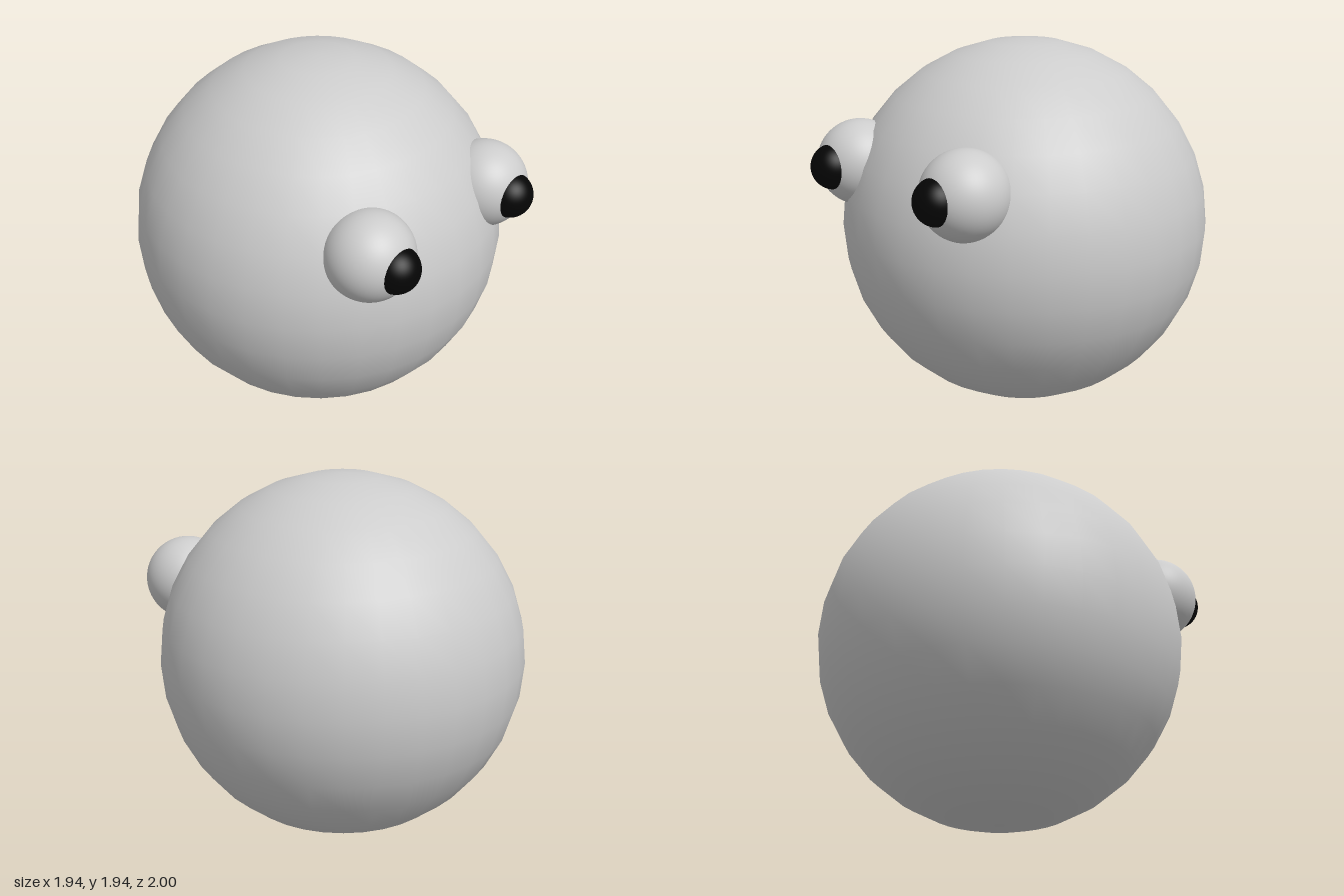
import * as THREE from 'three';

export function createModel() {
  const model = new THREE.Group();
  const grey = new THREE.MeshStandardMaterial({ color: 0xcccccc });
  grey.name = 'light grey';
  const black = new THREE.MeshStandardMaterial({ color: 0x050505 });
  black.name = 'black';

  function ball(name, radius, widthSegments, material, x, y, z) {
    const geometry = new THREE.SphereGeometry(radius, widthSegments, widthSegments / 2);
    const mesh = new THREE.Mesh(geometry, material);
    mesh.name = name;
    mesh.position.set(x, y, z);
    model.add(mesh);
  }

  // Round body with a slightly faceted outline
  ball('body', 0.97, 32, grey, 0, 0.975, -0.03);

  // Bulging eyes with smaller pupils pushed out of their fronts
  for (const [side, s] of [['left', 1], ['right', -1]]) {
    ball(side + 'Eye', 0.224, 64, grey, s * 0.436, 1.326, 0.718);
    ball(side + 'Pupil', 0.118, 64, black, s * 0.436, 1.326, 0.882);
  }

  return model;
}
